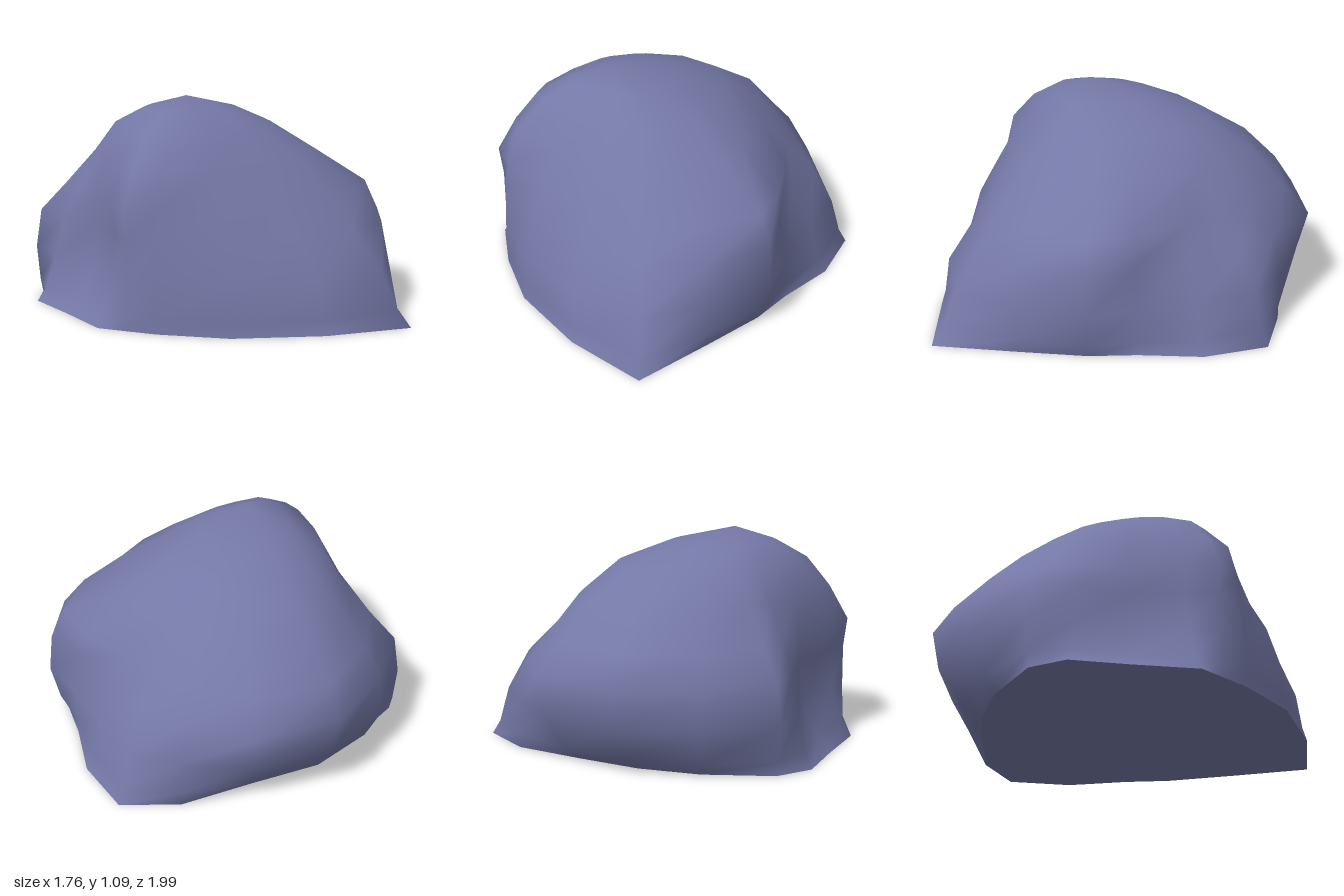
import * as THREE from 'three';

// Compass angles (degrees from +x towards +z) shared by every cross-section
const ANGLES = [0, 15, 36, 55, 75, 103, 130, 143, 154, 180, 200, 214, 240, 265, 290, 310, 325, 342];
const CENTRE_X = -0.1;
const PEAK = [-0.2, 1.09, 0.11];

// Horizontal cross-section: height and radius at each angle
function ring(y, ...radii) {
  return radii.map((r, i) => {
    const a = THREE.MathUtils.degToRad(ANGLES[i]);
    return [CENTRE_X + Math.cos(a) * r, y, Math.sin(a) * r];
  });
}

// Section part of the way from one ring to another, at its own height
function blend(from, to, t, y) {
  return from.map((p, i) => [
    THREE.MathUtils.lerp(p[0], to[i][0], t), y, THREE.MathUtils.lerp(p[2], to[i][2], t),
  ]);
}

function makeGeometry(points, index) {
  const geometry = new THREE.BufferGeometry();
  geometry.setAttribute('position', new THREE.Float32BufferAttribute(points.flat(), 3));
  geometry.setIndex(index);
  geometry.computeVertexNormals();
  return geometry;
}

export function createModel() {
  const group = new THREE.Group();
  group.name = 'boulder';
  const stone = new THREE.MeshStandardMaterial({ color: 0x7478a6 });
  stone.name = 'blue grey stone';
  const n = ANGLES.length;

  // Footprint, undercut waist, leaning shoulders and crown
  const foot = ring(0, 0.92, 0.93, 1.0, 1.215, 0.97, 0.8, 0.73, 0.73, 0.76, 0.73, 0.83, 0.83, 0.74, 0.73, 0.8, 1.0, 1.13, 1.03);
  const waist = ring(0.25, 0.92, 1.01, 1.01, 1.06, 0.92, 0.78, 0.73, 0.72, 0.65, 0.57, 0.73, 0.86, 0.9, 0.96, 0.99, 1.0, 1.04, 0.94);
  const belly = ring(0.45, 0.86, 0.99, 0.97, 0.9, 0.77, 0.72, 0.72, 0.72, 0.62, 0.55, 0.68, 0.83, 0.88, 1.0, 1.04, 0.95, 0.93, 0.83);
  const chest = ring(0.6, 0.85, 0.92, 0.85, 0.78, 0.67, 0.64, 0.7, 0.74, 0.65, 0.55, 0.6, 0.69, 0.79, 0.9, 0.9, 0.83, 0.78, 0.79);
  const shoulder = ring(0.78, 0.63, 0.64, 0.63, 0.6, 0.54, 0.54, 0.65, 0.64, 0.58, 0.51, 0.5, 0.53, 0.62, 0.72, 0.74, 0.68, 0.63, 0.62);
  const crown = ring(0.93, 0.41, 0.4, 0.4, 0.4, 0.38, 0.4, 0.51, 0.52, 0.49, 0.43, 0.42, 0.42, 0.44, 0.47, 0.49, 0.47, 0.45, 0.42);
  const tip = ANGLES.map(() => PEAK);
  const rings = [foot, blend(foot, waist, 0.45, 0.07), waist, belly, chest, shoulder, crown, blend(crown, tip, 0.42, 1.02)];

  // Smooth outer surface, lofted through the rings and closed at the peak
  const index = [];
  const peak = rings.length * n;
  for (let k = 0; k < rings.length; k++) {
    for (let i = 0; i < n; i++) {
      const a = k * n + i;
      const b = k * n + ((i + 1) % n);
      if (k === rings.length - 1) index.push(a, peak, b);
      else index.push(a, a + n, b, b, a + n, b + n);
    }
  }
  const body = new THREE.Mesh(makeGeometry([...rings.flat(), PEAK], index), stone);
  body.name = 'boulderBody';
  group.add(body);

  // Flat underside
  const baseIndex = [];
  for (let i = 0; i < n; i++) baseIndex.push(n, i, (i + 1) % n);
  const base = new THREE.Mesh(makeGeometry([...foot, [CENTRE_X, 0, 0]], baseIndex), stone);
  base.name = 'boulderBase';
  group.add(base);

  return group;
}
